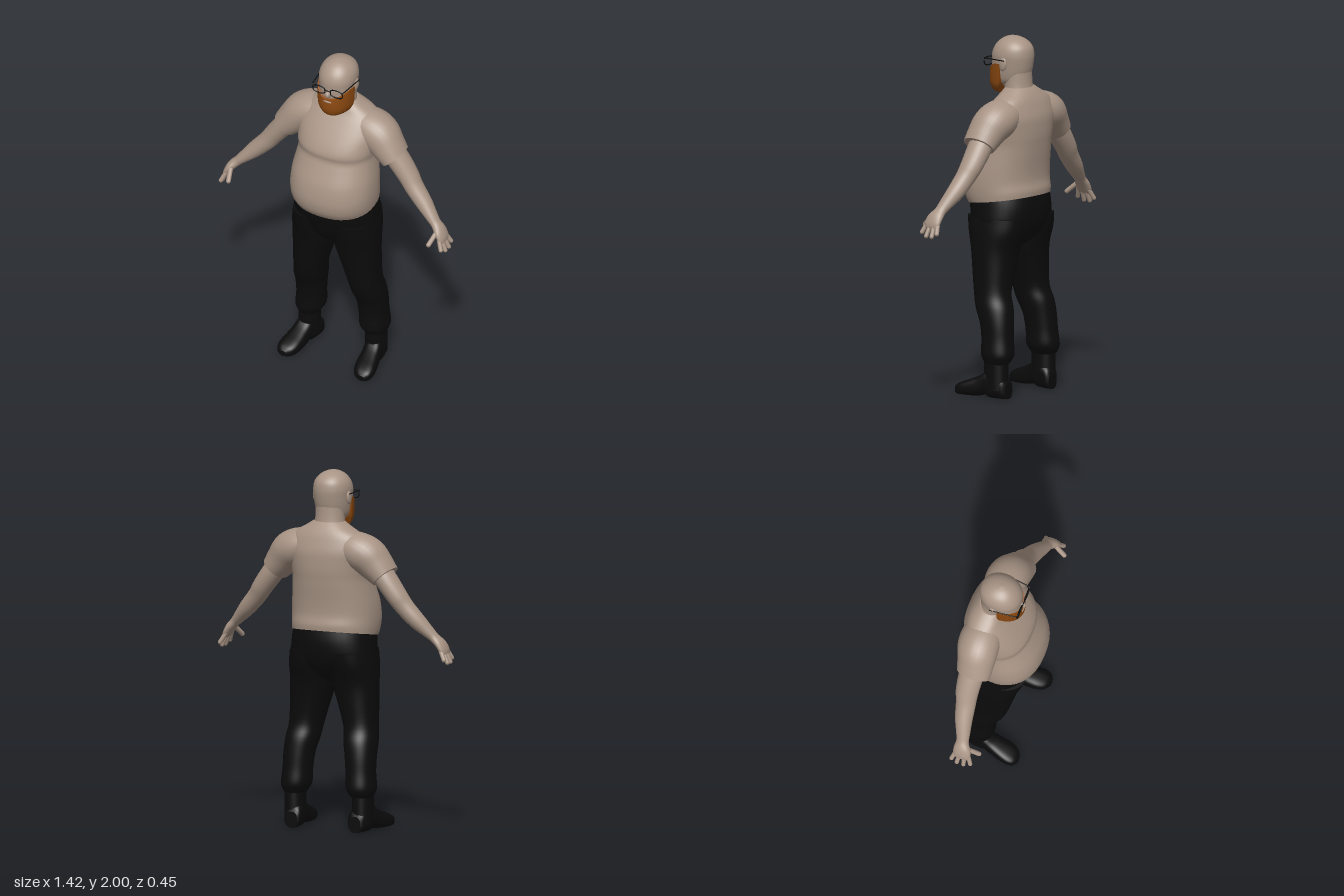
import * as THREE from 'three';

const V = (x, y, z) => new THREE.Vector3(x, y, z);

// Catmull-Rom refinement of a table of cross-section rows
function smooth(rows, steps = 4) {
  const out = [];
  for (let i = 0; i < rows.length - 1; i++) {
    const a = rows[Math.max(i - 1, 0)], b = rows[i], c = rows[i + 1], d = rows[Math.min(i + 2, rows.length - 1)];
    for (let k = 0; k < steps; k++) {
      const t = k / steps;
      out.push(b.map((_, j) => b[j] + 0.5 * t * (c[j] - a[j]
        + t * (2 * a[j] - 5 * b[j] + 4 * c[j] - d[j] + t * (3 * (b[j] - c[j]) + d[j] - a[j])))));
    }
  }
  out.push(rows[rows.length - 1]);
  return out;
}

// Superelliptic ring round a centre with two half-axes
function ring(c, u, v, n = 2, seg = 40) {
  const pts = [];
  const p = (q) => Math.sign(q) * Math.abs(q) ** (2 / n);
  for (let i = 0; i < seg; i++) {
    const a = (i / seg) * Math.PI * 2;
    pts.push(c.clone().addScaledVector(u, p(Math.cos(a))).addScaledVector(v, p(Math.sin(a))));
  }
  return pts;
}

// Skin over a list of rings, with flat end caps, always facing outward
function loft(rings) {
  const n = rings[0].length, pos = [], idx = [];
  const add = (p) => pos.push(p.x, p.y, p.z) / 3 - 1;
  rings.forEach((r) => r.forEach(add));
  for (let i = 0; i < rings.length - 1; i++) {
    for (let j = 0; j < n; j++) {
      const a = i * n + j, b = i * n + (j + 1) % n;
      idx.push(a, b, a + n, b, b + n, a + n);
    }
  }
  [rings[0], rings[rings.length - 1]].forEach((r, end) => {
    const mid = r.reduce((s, p) => s.add(p), V(0, 0, 0)).divideScalar(n);
    const c = add(mid), first = c + 1;
    r.forEach(add);
    for (let j = 0; j < n; j++) {
      const a = first + j, b = first + (j + 1) % n;
      end ? idx.push(c, a, b) : idx.push(c, b, a);
    }
  });
  const at = (i) => V(pos[i * 3], pos[i * 3 + 1], pos[i * 3 + 2]);
  let volume = 0;
  for (let i = 0; i < idx.length; i += 3) volume += at(idx[i]).dot(at(idx[i + 1]).cross(at(idx[i + 2])));
  if (volume < 0) idx.reverse();
  const g = new THREE.BufferGeometry();
  g.setAttribute('position', new THREE.Float32BufferAttribute(pos, 3));
  g.setIndex(idx);
  g.computeVertexNormals();
  return g;
}

// Horizontal ring from its extents
const level = (y, x0, x1, z0, z1, n) =>
  ring(V((x0 + x1) / 2, y, (z0 + z1) / 2), V((x1 - x0) / 2, 0, 0), V(0, 0, (z1 - z0) / 2), n);
// Rows: y, half width, back z, front z
const column = (rows, n) => smooth(rows).map(([y, w, b, f]) => level(y, -w, w, b, f, n));

// Limb rows: x, y, z, radius across the limb, radius in z
function limb(rows, s) {
  const r = smooth(rows);
  return loft(r.map(([x, y, z, rn, rz], i) => {
    const a = r[Math.max(i - 1, 0)], b = r[Math.min(i + 1, r.length - 1)];
    const across = V(-s * (b[1] - a[1]), b[0] - a[0], 0).normalize().multiplyScalar(rn);
    return ring(V(s * x, y, z), across, V(0, 0, rz), 2, 28);
  }));
}

export function createModel() {
  const root = new THREE.Group();
  const mat = (name, color) => Object.assign(new THREE.MeshStandardMaterial({ color }), { name });
  const skin = mat('warm beige', 0xa89485);
  const black = mat('black', 0x0b0b0c);
  const ginger = mat('ginger', 0x8a4810);
  const put = (name, geo, m) => {
    const mesh = new THREE.Mesh(geo, m);
    mesh.name = name;
    root.add(mesh);
    return mesh;
  };
  const ball = (name, m, x, y, z, rx, ry, rz) => {
    const b = put(name, new THREE.SphereGeometry(1, 20, 14), m);
    b.position.set(x, y, z);
    b.scale.set(rx, ry, rz);
    return b;
  };
  const rod = (name, m, a, b, r) => {
    const d = b.clone().sub(a);
    const c = put(name, new THREE.CapsuleGeometry(r, d.length(), 6, 12), m);
    c.position.copy(a).lerp(b, 0.5);
    c.quaternion.setFromUnitVectors(V(0, 1, 0), d.normalize());
  };

  // Shirt body, its hem dipping toward the front
  const torso = column([
    [1.09, 0.238, -0.21, 0.19], [1.13, 0.244, -0.212, 0.215], [1.19, 0.247, -0.203, 0.224],
    [1.27, 0.243, -0.205, 0.207], [1.36, 0.23, -0.215, 0.168], [1.41, 0.225, -0.22, 0.147],
    [1.45, 0.23, -0.224, 0.148], [1.5, 0.235, -0.225, 0.125], [1.56, 0.24, -0.222, 0.085],
    [1.62, 0.225, -0.205, 0.04], [1.66, 0.19, -0.19, 0.01], [1.695, 0.13, -0.17, -0.005],
    [1.72, 0.09, -0.15, -0.015]], 2.3);
  torso.flat().forEach((p) => { p.y -= 0.15 * p.z * THREE.MathUtils.clamp((1.27 - p.y) / 0.18, 0, 1); });
  put('shirt', loft(torso), skin);

  // Neck and head
  put('neck', loft(column([[1.62, 0.1, -0.17, 0], [1.72, 0.085, -0.148, 0], [1.82, 0.082, -0.142, 0]])), skin);
  put('head', loft(column([
    [1.72, 0.05, -0.08, 0.06], [1.75, 0.085, -0.12, 0.08], [1.8, 0.098, -0.142, 0.086],
    [1.86, 0.104, -0.153, 0.086], [1.9, 0.106, -0.155, 0.084], [1.94, 0.096, -0.147, 0.068],
    [1.972, 0.072, -0.118, 0.04], [1.992, 0.038, -0.078, 0.006], [2, 0.004, -0.036, -0.028]], 2.1)), skin);
  ball('nose', skin, 0, 1.828, 0.09, 0.016, 0.022, 0.022);

  // Beard: hugs the jaw and climbs to the sideburns
  const beard = column([
    [1.68, 0.055, -0.12, 0.075], [1.692, 0.078, -0.14, 0.09], [1.72, 0.097, -0.15, 0.1],
    [1.755, 0.106, -0.158, 0.102], [1.795, 0.108, -0.16, 0.098]], 2.15);
  beard.flat().forEach((p) => {
    p.z = Math.max(p.z, -0.02 + 0.03 * THREE.MathUtils.clamp((1.75 - p.y) / 0.07, 0, 1));
    p.y += 0.055 * THREE.MathUtils.clamp((p.y - 1.74) / 0.055, 0, 1) * Math.min(1, (p.x / 0.104) ** 2);
  });
  put('beard', loft(beard), ginger);
  ball('lips', skin, 0, 1.783, 0.098, 0.026, 0.006, 0.006);

  // Trouser seat
  put('trouserSeat', loft(column([
    [1.14, 0.225, -0.205, 0.18], [1.05, 0.238, -0.215, 0.18], [0.95, 0.238, -0.2, 0.15],
    [0.88, 0.17, -0.155, 0.12], [0.82, 0.04, -0.08, 0.06]], 2.3)), black);

  rod('glassesBridge', black, V(-0.017, 1.855, 0.097), V(0.017, 1.855, 0.097), 0.003);

  for (const s of [1, -1]) {
    const side = s > 0 ? 'left' : 'right';

    // Sleeve, arm and palm
    put(side + 'Sleeve', limb([
      [0.1, 1.585, -0.085, 0.09, 0.1], [0.18, 1.565, -0.085, 0.105, 0.115], [0.24, 1.535, -0.08, 0.108, 0.115],
      [0.29, 1.485, -0.07, 0.095, 0.105], [0.34, 1.43, -0.063, 0.078, 0.096]], s), skin);
    put(side + 'Arm', limb([
      [0.3, 1.475, -0.07, 0.062, 0.072], [0.36, 1.4, -0.073, 0.061, 0.07], [0.42, 1.32, -0.07, 0.056, 0.064],
      [0.46, 1.265, -0.06, 0.052, 0.057], [0.53, 1.19, -0.045, 0.046, 0.05], [0.59, 1.13, -0.025, 0.033, 0.04],
      [0.62, 1.1, -0.015, 0.027, 0.036], [0.65, 1.07, -0.004, 0.026, 0.049], [0.672, 1.035, 0, 0.021, 0.051],
      [0.683, 1.012, 0, 0.012, 0.044]], s), skin);

    // Fingers and thumb: base height, base z, tip
    [[0.038, 0.69, 0.985, 0.058], [0.014, 0.699, 0.967, 0.022], [-0.012, 0.7, 0.967, -0.017], [-0.036, 0.696, 0.985, -0.05]]
      .forEach(([z, x, y, tz]) => rod(side + 'Finger', skin, V(s * 0.668, 1.035, z), V(s * x, y, tz), 0.0125));
    rod(side + 'Thumb', skin, V(s * 0.645, 1.07, 0.025), V(s * 0.628, 1.018, 0.086), 0.0135);

    // Trouser leg: y, inner x, outer x, back z, front z
    put(side + 'TrouserLeg', loft(smooth([
      [1.0, 0, 0.24, -0.2, 0.16], [0.92, 0, 0.252, -0.185, 0.145], [0.82, 0.003, 0.257, -0.15, 0.12],
      [0.7, 0.04, 0.259, -0.135, 0.1], [0.58, 0.075, 0.262, -0.13, 0.08], [0.5, 0.088, 0.272, -0.155, 0.06],
      [0.42, 0.105, 0.275, -0.166, 0.025], [0.33, 0.115, 0.276, -0.172, 0.01], [0.25, 0.118, 0.283, -0.18, 0.01],
      [0.215, 0.135, 0.275, -0.17, -0.005], [0.195, 0.15, 0.265, -0.155, -0.015]])
      .map(([y, a, b, z0, z1]) => level(y, s * a, s * b, z0, z1, 2.2))), black);

    // Boot shaft and foot (z, half width, bottom, top), toes turned out
    put(side + 'BootShaft', loft([0.23, 0.16, 0.1, 0.05].map((y) =>
      level(y, s * 0.153, s * 0.265, -0.153, -0.012, 2.2))), black);
    put(side + 'Foot', loft(smooth([
      [-0.157, 0.035, 0, 0.09], [-0.14, 0.05, 0, 0.12], [-0.09, 0.055, 0, 0.15], [-0.05, 0.053, 0.003, 0.155],
      [-0.03, 0.052, 0.016, 0.15], [0.01, 0.055, 0.007, 0.122], [0.06, 0.06, 0.003, 0.1], [0.11, 0.06, 0.003, 0.082],
      [0.145, 0.047, 0.005, 0.065], [0.165, 0.02, 0.012, 0.045]])
      .map(([z, w, lo, hi]) => ring(V(s * (0.207 + 0.15 * (z + 0.085)), (lo + hi) / 2, z),
        V(w, 0, 0), V(0, (hi - lo) / 2, 0), 2.7))), black);

    // Ear
    ball(side + 'Ear', skin, s * 0.104, 1.85, -0.045, 0.011, 0.038, 0.024).rotation.x = -0.15;

    // Glasses rim and temple
    const rim = ring(V(s * 0.055, 1.85, 0.095), V(0.038, 0, 0), V(0, 0.023, 0), 2.8, 20);
    put(side + 'GlassesRim', new THREE.TubeGeometry(new THREE.CatmullRomCurve3(rim, true), 48, 0.0032, 6, true), black);
    rod(side + 'GlassesHinge', black, V(s * 0.09, 1.866, 0.095), V(s * 0.098, 1.872, 0.09), 0.003);
    rod(side + 'GlassesTemple', black, V(s * 0.098, 1.872, 0.09), V(s * 0.114, 1.872, -0.06), 0.003);
  }
  return root;
}
